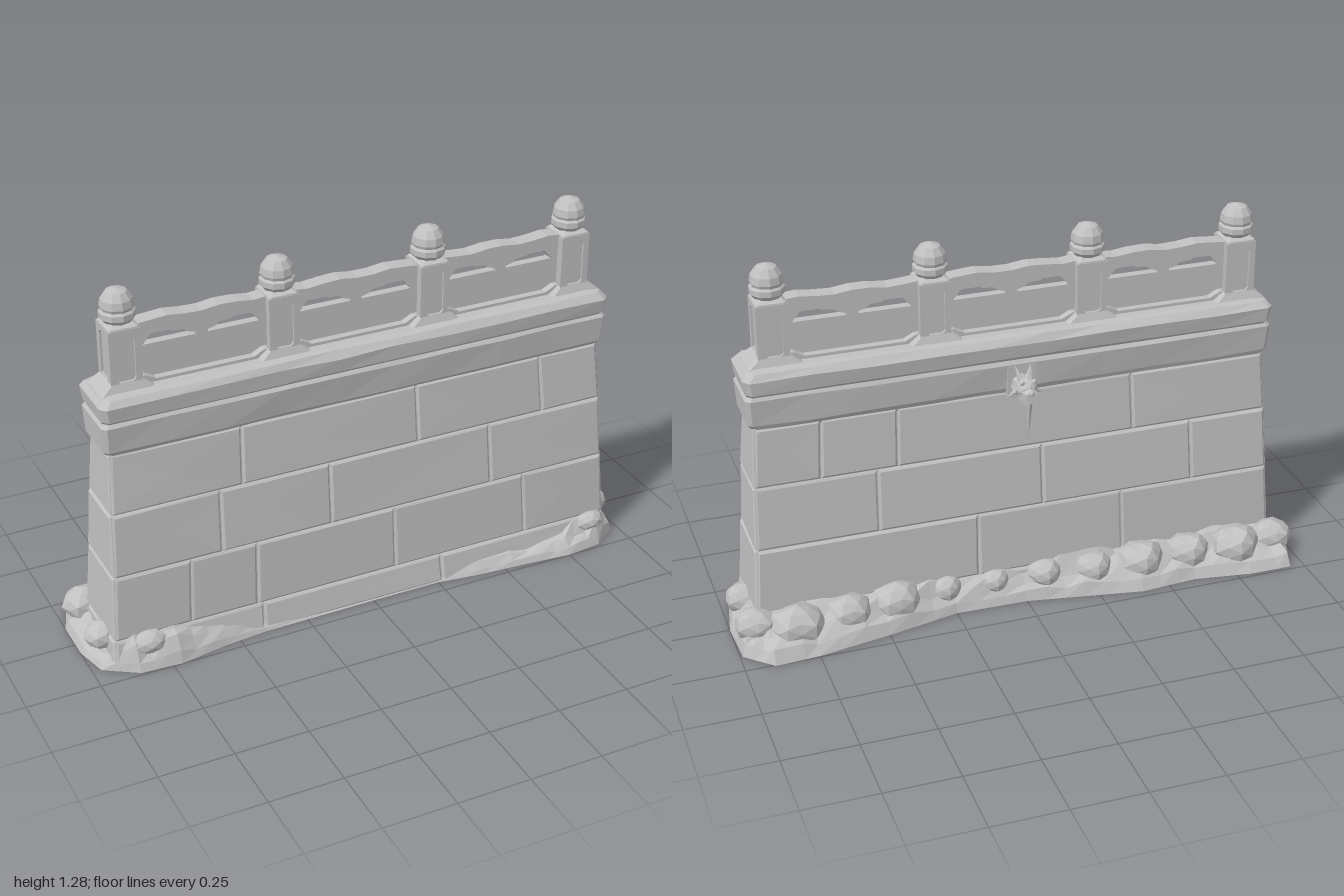
import * as THREE from 'three';

const stone = new THREE.MeshStandardMaterial({ color: 0xc0c0c0, flatShading: true, side: THREE.DoubleSide });
stone.name = 'grey stone';

const ZC = 0.045; // middle of the wall thickness
let seed = 7;
const rnd = () => (seed = (seed * 16807) % 2147483647) / 2147483647;
const jit = (a) => (rnd() - 0.5) * 2 * a;
const V = (x, y, z) => new THREE.Vector3(x, y, z);

function mesh(geo, name, parent, x = 0, y = 0, z = 0) {
  const m = new THREE.Mesh(geo, stone);
  m.name = name;
  m.position.set(x, y, z);
  parent.add(m);
  return m;
}

// Skin closed rings of points, with an optional lid on the last ring
function loft(rings, lid) {
  const p = [];
  const tri = (...vs) => vs.forEach((v) => p.push(v.x, v.y, v.z));
  const n = rings[0].length;
  for (let i = 0; i + 1 < rings.length; i++) {
    for (let j = 0; j < n; j++) {
      const k = (j + 1) % n, a = rings[i], b = rings[i + 1];
      tri(a[j], a[k], b[k]);
      tri(a[j], b[k], b[j]);
    }
  }
  if (lid) {
    const top = rings[rings.length - 1];
    const c = top.reduce((s, v) => s.add(v), V(0, 0, 0)).divideScalar(n);
    top.forEach((v, j) => tri(c, v, top[(j + 1) % n]));
  }
  const g = new THREE.BufferGeometry();
  g.setAttribute('position', new THREE.Float32BufferAttribute(p, 3));
  g.computeVertexNormals();
  return g;
}

// Horizontal rectangle ring with cut corners and a slightly worn outline
function rectRing(hx, zf, zb, y, cut, wear = 0, n = 9) {
  const r = [];
  for (let i = 0; i <= n; i++) r.push(V(-hx + cut + (2 * (hx - cut) * i) / n, y + jit(wear), zf + jit(wear)));
  r.push(V(hx, y, zf - cut), V(hx, y, zb + cut));
  for (let i = n; i >= 0; i--) r.push(V(-hx + cut + (2 * (hx - cut) * i) / n, y + jit(wear), zb + jit(wear)));
  r.push(V(-hx, y, zb + cut), V(-hx, y, zf - cut));
  return r;
}

// Battered wall section: height, half length, front z, back z
const section = [[0, 0.93, 0.195, -0.1], [0.1, 0.92, 0.178, -0.088], [0.33, 0.905, 0.165, -0.076],
  [0.55, 0.895, 0.145, -0.055], [0.76, 0.88, 0.125, -0.04]];
function at(y, k) {
  let i = 0;
  while (i < section.length - 2 && y > section[i + 1][0]) i++;
  const a = section[i], b = section[i + 1];
  return a[k] + ((b[k] - a[k]) * (y - a[0])) / (b[0] - a[0]);
}
const faces = {
  front: (u, v, d) => V((u * at(v, 1)) / 0.9, v, at(v, 2) + d),
  back: (u, v, d) => V((-u * at(v, 1)) / 0.9, v, at(v, 3) - d),
  left: (u, v, d) => V(at(v, 1) + d, v, ((at(v, 2) + at(v, 3)) / 2) - (u * (at(v, 2) - at(v, 3))) / 0.22),
  right: (u, v, d) => V(-at(v, 1) - d, v, ((at(v, 2) + at(v, 3)) / 2) + (u * (at(v, 2) - at(v, 3))) / 0.22),
};

// One dressed stone with softened edges, laid on a wall face
function block(parent, face, u0, u1, v0, v1) {
  const ring = (inset, d, wear) => [[u0 + inset, v0 + inset], [u1 - inset, v0 + inset],
    [u1 - inset, v1 - inset], [u0 + inset, v1 - inset]].map(([u, v]) => faces[face](u, v, d + jit(wear)));
  mesh(loft([ring(0.001, -0.012, 0), ring(0.002, 0, 0), ring(0.009, 0.005, 0.002)], true), face + 'Block', parent);
}

function buildWall(g) {
  mesh(loft(section.map(([y, hx, f, b]) => rectRing(hx - 0.004, f - 0.004, b + 0.004, y, 0.004))), 'wallCore', g);
  const levels = [0, 0.1, 0.33, 0.55, 0.757];
  const joints = {
    front: [[-0.39, 0.26], [-0.64, -0.41, 0.09, 0.585], [-0.53, -0.14, 0.46], [-0.45, 0.19, 0.67]],
    back: [[-0.3, 0.4], [-0.15, 0.36], [-0.49, 0.08, 0.62], [-0.68, -0.42, 0.41]],
  };
  for (let c = 0; c < 4; c++) {
    for (const face of ['front', 'back']) {
      const u = [-0.9, ...joints[face][c], 0.9];
      for (let i = 0; i + 1 < u.length; i++) block(g, face, u[i], u[i + 1], levels[c], levels[c + 1]);
    }
    for (const face of ['left', 'right']) block(g, face, -0.11, 0.11, levels[c], levels[c + 1]);
  }
  // Moulded cornice and worn coping
  mesh(loft([[0.74, 0.875, 0.115, -0.035, 0], [0.77, 0.9, 0.14, -0.05, 0.004], [0.86, 0.905, 0.149, -0.058, 0.002],
    [0.872, 0.897, 0.14, -0.05, 0]].map(([y, x, f, b, w]) => rectRing(x, f, b, y, 0.015, w))), 'cornice', g);
  mesh(loft([[0.87, 0.895, 0.138, -0.048, 0], [0.882, 0.902, 0.15, -0.058, 0.001], [0.93, 0.908, 0.155, -0.064, 0.003],
    [0.952, 0.89, 0.138, -0.046, 0.003], [0.957, 0.86, 0.115, -0.025, 0]]
    .map(([y, x, f, b, w]) => rectRing(x, f, b, y, 0.02, w)), true), 'coping', g);
}

function polygon(points) {
  return new THREE.Shape(points.map(([x, y]) => new THREE.Vector2(x, y)));
}
const extrude = (shape, depth) => new THREE.ExtrudeGeometry(shape, { depth, bevelEnabled: false });

function buildPost(x) {
  const g = new THREE.Group();
  g.name = 'post';
  g.position.set(x, 0, ZC);
  mesh(loft([[0.945, 0.095, 0.07], [0.955, 0.09, 0.066], [0.985, 0.053, 0.054]]
    .map(([y, hx, hz]) => rectRing(hx, hz, -hz, y, 0.008, 0, 1)), true), 'postFoot', g);
  mesh(new THREE.BoxGeometry(0.088, 0.2, 0.094), 'postCore', g, 0, 1.06, 0);
  // Raised frame around a long eight-sided panel on every face
  const octagon = (w, h, c) => [[-w, -h + c], [-w + c, -h], [w - c, -h], [w, -h + c], [w, h - c], [w - c, h], [-w + c, h], [-w, h - c]];
  for (let i = 0; i < 4; i++) {
    const half = i % 2 ? 0.055 : 0.052;
    const s = polygon([[-half, -0.1], [half, -0.1], [half, 0.1], [-half, 0.1]]);
    s.holes.push(polygon(octagon(0.031, 0.08, 0.013)));
    const f = mesh(extrude(s, 0.008), 'postFrame', g, 0, 1.06, 0);
    f.rotation.y = (i * Math.PI) / 2;
    f.translateZ(i % 2 ? 0.044 : 0.047);
  }
  mesh(loft([[1.155, 0.052, 0.055], [1.165, 0.05, 0.053], [1.176, 0.035, 0.035]]
    .map(([y, hx, hz]) => rectRing(hx, hz, -hz, y, 0.006, 0, 1)), true), 'postTop', g);
  // Domed finial with a collar
  const profile = [[0.03, 1.165], [0.046, 1.174], [0.058, 1.188], [0.058, 1.207], [0.051, 1.214], [0.055, 1.224],
    [0.051, 1.248], [0.034, 1.272], [0, 1.283]];
  mesh(new THREE.LatheGeometry(profile.map(([r, y]) => new THREE.Vector2(r, y)), 10), 'finial', g);
  return g;
}

function buildBay(x0, x1) {
  const g = new THREE.Group();
  g.name = 'balustradeBay';
  const c = (x0 + x1) / 2, h = (x1 - x0) / 2 - 0.045;
  g.position.set(c, 0, ZC);
  // Panel pierced by a long opening under the handrail
  const s = polygon([[-h, 0.95], [h, 0.95], [h, 1.12], [-h, 1.12]]);
  const w = h - 0.025;
  s.holes.push(polygon([[-w, 1.077], [w, 1.077], [w - 0.025, 1.108], [w - 0.05, 1.116], [-w + 0.05, 1.116], [-w + 0.025, 1.108]]));
  mesh(extrude(s, 0.03), 'panel', g, 0, 0, -0.015);
  // Carved support in the opening
  mesh(extrude(polygon([[-0.022, 1.07], [0.022, 1.07], [0.02, 1.086], [0.045, 1.092], [0.06, 1.104], [0.1, 1.107], [0.11, 1.118],
    [-0.11, 1.118], [-0.1, 1.107], [-0.06, 1.104], [-0.045, 1.092], [-0.02, 1.086]]), 0.036), 'carvedSupport', g, 0, 0, -0.018);
  // Worn handrail
  const rail = new THREE.BoxGeometry(2 * h + 0.02, 0.046, 0.056, 8, 1, 1);
  const p = rail.attributes.position;
  for (let i = 0; i < p.count; i++) if (p.getY(i) > 0) p.setY(i, 0.023 + 0.005 * Math.sin(p.getX(i) * 31 + x0 * 9));
  mesh(rail, 'handrail', g, 0, 1.14, 0);
  // Sill with sloped ends rising to the posts
  mesh(extrude(polygon([[-h, 0.94], [h, 0.94], [h, 0.985], [h - 0.02, 0.985], [h - 0.055, 0.967], [-h + 0.055, 0.967],
    [-h + 0.02, 0.985], [-h, 0.985]]), 0.08), 'sill', g, 0, 0, -0.04);
  return g;
}

// Beast-head water spout with a hanging icicle, facing the back
function buildSpout() {
  const g = new THREE.Group();
  g.name = 'waterSpout';
  g.position.set(-0.01, 0.785, -0.045);
  mesh(new THREE.BoxGeometry(0.1, 0.12, 0.03), 'spoutPlate', g, 0, 0.015, 0);
  const neck = mesh(new THREE.CylinderGeometry(0.032, 0.042, 0.06, 7), 'neck', g, 0, 0.0, -0.035);
  neck.rotation.x = -Math.PI / 2;
  mesh(new THREE.IcosahedronGeometry(0.037, 1), 'head', g, 0, 0.006, -0.06);
  const snout = mesh(new THREE.CylinderGeometry(0.022, 0.034, 0.055, 6), 'snout', g, 0, -0.006, -0.088);
  snout.rotation.x = -Math.PI / 2 + 0.1;
  mesh(new THREE.BoxGeometry(0.036, 0.012, 0.05), 'lowerJaw', g, 0, -0.034, -0.072).rotation.x = 0.25;
  mesh(new THREE.IcosahedronGeometry(0.013, 0), 'nose', g, 0, 0.008, -0.108);
  for (const s of [-1, 1]) {
    const ear = mesh(new THREE.ConeGeometry(0.014, 0.055, 5), 'ear', g, s * 0.02, 0.052, -0.032);
    ear.rotation.set(0.35, 0, -s * 0.3);
    mesh(new THREE.IcosahedronGeometry(0.01, 0), 'brow', g, s * 0.02, 0.034, -0.075);
    const fin = mesh(new THREE.ConeGeometry(0.016, 0.055, 4), 'cheekFin', g, s * 0.038, -0.012, -0.04);
    fin.rotation.z = -s * 2.2;
  }
  const ice = mesh(new THREE.ConeGeometry(0.014, 0.13, 6), 'icicle', g, 0, -0.097, -0.08);
  ice.rotation.x = Math.PI;
  return g;
}

// Earth and rubble around the foot: outline x, z and bank height
const bank = [[-0.97, 0.17, 0.04], [-0.86, 0.24, 0.11], [-0.72, 0.25, 0.12], [-0.55, 0.22, 0.07], [-0.4, 0.205, 0.03],
  [0, 0.2, 0.012], [0.25, 0.2, 0.02], [0.4, 0.22, 0.05], [0.6, 0.235, 0.05], [0.75, 0.25, 0.07], [0.88, 0.235, 0.11],
  [0.97, 0.17, 0.1], [1, 0, 0.09], [0.99, -0.17, 0.1], [0.9, -0.255, 0.12], [0.75, -0.245, 0.12], [0.5, -0.2, 0.12],
  [0.25, -0.145, 0.11], [0, -0.15, 0.1], [-0.2, -0.185, 0.12], [-0.4, -0.22, 0.12], [-0.6, -0.205, 0.12],
  [-0.8, -0.235, 0.13], [-0.95, -0.235, 0.11], [-1, -0.1, 0.08], [-1, 0.05, 0.07]];

function buildRubble(g) {
  const outline = [];
  bank.forEach((a, i) => {
    const b = bank[(i + 1) % bank.length];
    for (let t = 0; t < 3; t++) outline.push(a.map((v, k) => v + ((b[k] - v) * t) / 3));
  });
  const rings = [[0, 0, 0], [0.12, 0.35, 0.1], [0.4, 0.65, 0.2], [0.7, 0.95, 0.2], [1, 1, 0.1]].map(([t, y, w]) =>
    outline.map(([x, z, h]) => {
      const tx = THREE.MathUtils.clamp(x, -0.9, 0.9), tz = THREE.MathUtils.clamp(z, -0.07, 0.16);
      return V(x + (tx - x) * t, h * (y + jit(w)), z + (tz - z) * t);
    }));
  mesh(loft(rings), 'rubbleBank', g);
  // Loose boulders: x, z, radius
  const rocks = [[0.93, 0.07, 0.06], [0.93, -0.1, 0.065], [0.8, -0.15, 0.08], [0.62, -0.13, 0.07], [0.45, -0.11, 0.075],
    [0.27, -0.09, 0.05], [0.1, -0.095, 0.045], [-0.08, -0.1, 0.055], [-0.25, -0.12, 0.06], [-0.42, -0.13, 0.075],
    [-0.6, -0.125, 0.07], [-0.77, -0.14, 0.08], [-0.92, -0.12, 0.065], [-0.93, 0.08, 0.055], [-0.81, 0.185, 0.05], [0.86, 0.18, 0.045]];
  for (const [x, z, r] of rocks) {
    const geo = new THREE.IcosahedronGeometry(r, 1);
    const p = geo.attributes.position, ph = x * 17;
    for (let i = 0; i < p.count; i++) {
      const k = 1 + 0.12 * Math.sin(p.getX(i) * 60 + ph) * Math.cos(p.getZ(i) * 50 + ph);
      p.setXYZ(i, p.getX(i) * k * 1.15, Math.max(p.getY(i) * k * 0.9, -0.07), p.getZ(i) * k * 0.95);
    }
    geo.computeVertexNormals();
    mesh(geo, 'boulder', g, x, 0.075, z);
  }
}

export function createModel() {
  const model = new THREE.Group();
  model.name = 'stoneWall';
  buildWall(model);
  const posts = [-0.8, -0.27, 0.265, 0.795];
  posts.forEach((x, i) => {
    model.add(buildPost(x));
    if (i) model.add(buildBay(posts[i - 1], x));
  });
  model.add(buildSpout());
  buildRubble(model);
  return model;
}
